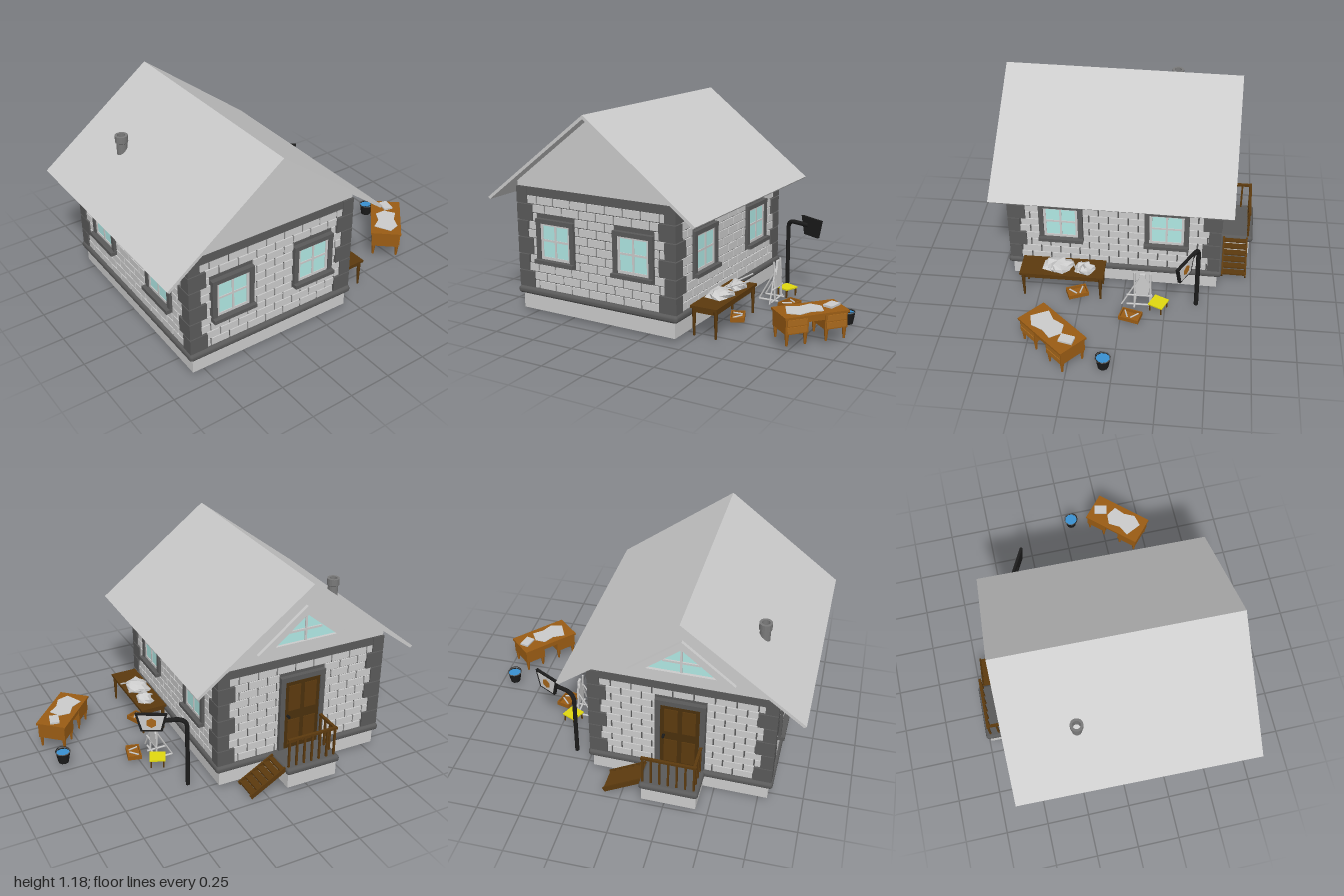
import * as THREE from 'three';
import { mergeGeometries } from 'three/addons/utils/BufferGeometryUtils.js';
import { RoundedBoxGeometry } from 'three/addons/geometries/RoundedBoxGeometry.js';

const mat = (color, flatShading = false) => new THREE.MeshStandardMaterial({ color, flatShading, side: THREE.DoubleSide });
const M = {
  light: mat(0xcccccc), dark: mat(0x5a5a5a), glass: mat(0xb0e8e4), black: mat(0x1c1c1c), brown: mat(0x5c3a0e),
  door: mat(0x4a300c), wood: mat(0x9a5c14, true), yellow: mat(0xe0d810), water: mat(0x3a90d0), orange: mat(0xa8681c),
  cloth: mat(0xcccccc, true),
};
const V = (x, y, z) => new THREE.Vector3(x, y, z);

function add(parent, name, geo, material, x = 0, y = 0, z = 0) {
  const m = new THREE.Mesh(geo, material);
  m.name = name;
  m.position.set(x, y, z);
  parent.add(m);
  return m;
}
const box = (p, name, m, w, h, d, x, y, z) => add(p, name, new THREE.BoxGeometry(w, h, d), m, x, y, z);
function group(parent, name, x = 0, y = 0, z = 0, ry = 0) {
  const g = new THREE.Group();
  g.name = name;
  g.position.set(x, y, z);
  g.rotation.y = ry;
  parent.add(g);
  return g;
}
// Round bar between two points
function stick(p, name, m, a, b, r = 0.006, r2 = r, sides = 6) {
  const s = add(p, name, new THREE.CylinderGeometry(r2, r, a.distanceTo(b), sides), m);
  s.position.copy(a).lerp(b, 0.5);
  s.quaternion.setFromUnitVectors(V(0, 1, 0), b.clone().sub(a).normalize());
  return s;
}
const poly = (pts) => new THREE.Shape(pts.map(([x, y]) => new THREE.Vector2(x, y)));
const extrude = (shape, depth) => new THREE.ExtrudeGeometry(shape, { depth, bevelEnabled: false });

// Staggered brick face, cut around rectangular openings [x0, x1, y0, y1]
function bricks(width, openings) {
  const rows = 11, h = 0.54 / rows, bw = 0.115, gap = 0.009, geos = [];
  for (let r = 0; r < rows; r++) {
    const y = 0.15 + h * (r + 0.5);
    const holes = openings.filter((o) => y > o[2] - h / 3 && y < o[3] + h / 3);
    for (let x = -width / 2 - (r % 2) * bw / 2; x < width / 2; x += bw) {
      let parts = [[Math.max(x, -width / 2), Math.min(x + bw, width / 2)]];
      for (const [a, b] of holes) parts = parts.flatMap(([s, e]) => [[s, Math.min(e, a)], [Math.max(s, b), e]]);
      for (const [s, e] of parts) {
        if (e - s < gap * 2) continue;
        geos.push(new THREE.BoxGeometry(e - s - gap, h - gap * 0.7, 0.016).translate((s + e) / 2, y, 0));
      }
    }
  }
  return mergeGeometries(geos);
}

function windowUnit(parent, x) {
  const g = group(parent, 'window', x, 0.44, 0);
  box(g, 'glass', M.glass, 0.2, 0.21, 0.008, 0, 0, 0.008);
  for (const s of [-1, 1]) {
    box(g, 'outerJamb', M.dark, 0.028, 0.25, 0.04, s * 0.114, 0, 0.004);
    box(g, 'sashSide', M.light, 0.016, 0.21, 0.02, s * 0.093, 0, 0.006);
    box(g, 'sashRail', M.light, 0.2, 0.016, 0.02, 0, s * 0.098, 0.006);
  }
  box(g, 'lintel', M.dark, 0.256, 0.025, 0.046, 0, 0.114, 0.004);
  box(g, 'sill', M.dark, 0.262, 0.022, 0.08, 0, -0.118, 0.006);
  box(g, 'mullion', M.light, 0.012, 0.2, 0.016, 0, 0, 0.008);
  box(g, 'crossbar', M.light, 0.2, 0.012, 0.016, 0, 0.005, 0.008);
}

function house(root) {
  const g = group(root, 'house', -0.31, 0, 0.058, -0.0186);
  box(g, 'foundation', M.light, 1.01, 0.1, 1.22, 0, 0.07, 0);
  add(g, 'plinthLedge', new RoundedBoxGeometry(1.06, 0.042, 1.27, 3, 0.018), M.dark, 0, 0.132, 0);
  box(g, 'wallCore', M.dark, 1.01, 0.6, 1.21, 0, 0.44, 0);
  // Four walls, each in its own frame facing outward
  const sides = [[1.01, 0.605, 0, 0.257], [1.01, 0.605, Math.PI, 0], [1.21, 0.505, Math.PI / 2, 0.308], [1.21, 0.505, -Math.PI / 2, 0.308]];
  for (const [w, d, ry, wx] of sides) {
    const wall = group(g, 'wall', Math.sin(ry) * d, 0, Math.cos(ry) * d, ry);
    const holes = wx ? [-wx, wx].map((x) => [x - 0.125, x + 0.125, 0.315, 0.565]) : [[-0.14, 0.14, 0.1, 0.62]];
    add(wall, 'bricks', bricks(w, holes), M.light);
    box(wall, 'frieze', M.dark, w, 0.05, 0.024, 0, 0.715, 0);
    if (wx) [-wx, wx].forEach((x) => windowUnit(wall, x));
    else doorway(wall);
  }
  // Corner stones alternate long and short
  for (const sx of [-1, 1]) for (const sz of [-1, 1]) for (let i = 0; i < 6; i++) {
    const a = i % 2 ? 0.07 : 0.105, b = i % 2 ? 0.105 : 0.07;
    box(g, 'cornerStone', M.dark, a, 0.092, b, sx * (0.521 - a / 2), 0.2 + i * 0.098, sz * (0.621 - b / 2));
  }
  // Gable prism and roof slab
  add(g, 'gable', extrude(poly([[-0.515, 0.74], [0.515, 0.74], [0.515, 0.768], [0, 1.165], [-0.515, 0.768]]), 1.23), M.light, 0, 0, -0.615);
  add(g, 'roof', extrude(poly([[-0.672, 0.668], [-0.66, 0.656], [0, 1.158], [0.66, 0.656], [0.672, 0.668], [0, 1.18]]), 1.37), M.light, 0, 0, -0.685);
  // Triangular attic window at the back
  const attic = group(g, 'atticWindow', 0, 0.8, -0.615, Math.PI);
  const frame = poly([[-0.29, 0], [0.29, 0], [0, 0.235]]);
  frame.holes.push(poly([[-0.19, 0.03], [0, 0.185], [0.19, 0.03]]));
  add(attic, 'frame', extrude(frame, 0.02), M.light);
  add(attic, 'glass', extrude(poly([[-0.2, 0.025], [0.2, 0.025], [0, 0.19]]), 0.004), M.glass);
  box(attic, 'mullion', M.light, 0.012, 0.16, 0.012, 0, 0.105, 0.006);
  box(attic, 'crossbar', M.light, 0.2, 0.012, 0.012, 0, 0.095, 0.006);
  // Hollow chimney
  const pts = [[0.03, 0], [0.03, 0.15], [0.036, 0.155], [0.036, 0.195], [0.022, 0.195], [0.022, 0]];
  add(g, 'chimney', new THREE.LatheGeometry(pts.map(([x, y]) => new THREE.Vector2(x, y)), 16), mat(0x7a7a7a, true), -0.375, 0.79, -0.29);
  porch(g);
}

function doorway(wall) {
  box(wall, 'door', M.door, 0.22, 0.44, 0.024, 0, 0.37, 0.004);
  for (const s of [-1, 1]) {
    box(wall, 'doorJamb', M.dark, 0.03, 0.46, 0.04, s * 0.125, 0.38, 0.004);
    for (const y of [0.26, 0.48]) box(wall, 'doorPanel', M.brown, 0.075, 0.16, 0.006, s * 0.05, y, 0.017);
  }
  box(wall, 'doorHead', M.dark, 0.28, 0.03, 0.044, 0, 0.605, 0.004);
  stick(wall, 'doorHandle', M.black, V(-0.09, 0.37, 0.015), V(-0.09, 0.37, 0.04), 0.008);
}

function porch(house) {
  const g = group(house, 'porch', 0.018, 0, 0);
  box(g, 'porchBase', M.light, 0.31, 0.1, 0.2, 0, 0.07, -0.695);
  add(g, 'porchLedge', new RoundedBoxGeometry(0.335, 0.042, 0.22, 3, 0.018), M.dark, 0, 0.132, -0.705);
  // Railing on the back and left edges
  for (let i = 0; i < 7; i++) box(g, 'baluster', M.brown, 0.011, 0.18, 0.011, -0.14 + i * 0.048, 0.24, -0.785);
  for (let i = 1; i < 4; i++) box(g, 'baluster', M.brown, 0.011, 0.18, 0.011, -0.14, 0.24, -0.785 + i * 0.05);
  box(g, 'backRail', M.brown, 0.31, 0.014, 0.016, 0.002, 0.326, -0.785);
  box(g, 'sideRail', M.brown, 0.016, 0.014, 0.16, -0.14, 0.326, -0.71);
  // Wooden steps down to the right
  for (let i = 0; i < 6; i++) box(g, 'tread', M.brown, 0.042, 0.01, 0.14, 0.175 + i * 0.036, 0.135 - i * 0.021, -0.71);
  for (const z of [-0.78, -0.64]) box(g, 'stringer', M.brown, 0.25, 0.028, 0.01, 0.27, 0.08, z).rotation.z = -0.53;
}

function lampSign(root) {
  const g = group(root, 'lampSign');
  const path = new THREE.CurvePath();
  path.add(new THREE.LineCurve3(V(0.345, 0, -0.43), V(0.345, 0.38, -0.43)));
  path.add(new THREE.QuadraticBezierCurve3(V(0.345, 0.38, -0.43), V(0.345, 0.43, -0.43), V(0.395, 0.43, -0.405)));
  path.add(new THREE.LineCurve3(V(0.395, 0.43, -0.405), V(0.5, 0.43, -0.37)));
  add(g, 'post', new THREE.TubeGeometry(path, 40, 0.013, 8), M.black);
  const s = group(g, 'signPanel', 0.525, 0.425, -0.36, Math.PI - 0.49);
  const trap = (k) => [[-0.06 * k, -0.055 * k], [0.06 * k, -0.055 * k], [0.088 * k, 0.055 * k], [-0.088 * k, 0.055 * k]];
  add(s, 'panel', extrude(poly(trap(1)), 0.016), M.black, 0, 0, -0.008);
  add(s, 'panelFace', extrude(poly(trap(0.82)), 0.002), M.light, 0, 0, 0.008);
  add(s, 'panelInset', new THREE.CylinderGeometry(0.03, 0.03, 0.004, 6).rotateX(Math.PI / 2), M.orange, 0, 0, 0.01);
}

// Crumpled pile of cloth, made from a squashed sphere
function heap(p, name, w, h, d, x, y, z) {
  const geo = new THREE.SphereGeometry(1, 9, 6), pos = geo.attributes.position;
  for (let i = 0; i < pos.count; i++) {
    const px = pos.getX(i), py = pos.getY(i), pz = pos.getZ(i);
    const k = 1 + 0.28 * Math.sin(px * 7 + pz * 5) * Math.cos(pz * 6 - py * 4);
    pos.setXYZ(i, px * w * k, Math.max(py, 0) * h * k, pz * d * k);
  }
  geo.computeVertexNormals();
  return add(p, name, geo, M.cloth, x, y, z);
}

function crate(root, x, z, ry) {
  const g = group(root, 'crate', x, 0.028, z, ry);
  box(g, 'crateFloor', M.wood, 0.08, 0.006, 0.12, 0, 0.003, 0);
  for (const s of [-1, 1]) {
    box(g, 'crateSide', M.wood, 0.006, 0.026, 0.12, s * 0.037, 0.013, 0);
    box(g, 'crateEnd', M.wood, 0.08, 0.026, 0.006, 0, 0.013, s * 0.057);
    stick(g, 'tool', M.light, V(-0.025, 0.02, s * 0.04), V(0.025, 0.025, s * 0.01), 0.005);
  }
}

function furniture(root) {
  // Long work table beside the wall
  const t = group(root, 'workTable', 0.31, 0, 0.355);
  box(t, 'tableTop', M.brown, 0.16, 0.014, 0.49, 0, 0.185, 0);
  box(t, 'apron', M.brown, 0.13, 0.03, 0.45, 0, 0.165, 0);
  for (const x of [-0.065, 0.065]) for (const z of [-0.225, 0.225]) stick(t, 'tableLeg', M.brown, V(x, 0.02, z), V(x, 0.18, z), 0.006, 0.012);
  heap(t, 'cloth', 0.07, 0.04, 0.09, -0.01, 0.192, 0.03);
  heap(t, 'cloth', 0.05, 0.045, 0.06, 0.01, 0.192, -0.13);
  for (const [z, y] of [[-0.1, 0.28], [-0.05, 0.25], [0.08, 0.24]]) stick(t, 'rod', M.light, V(-0.05, 0.195, z), V(0.1, y, z - 0.05), 0.005);
  // Pedestal desk with drawers and papers
  const d = group(root, 'desk', 0.805, 0, 0.34, 0.843);
  box(d, 'deskTop', M.wood, 0.368, 0.012, 0.182, 0, 0.184, 0);
  box(d, 'deskBody', M.wood, 0.34, 0.03, 0.16, 0, 0.165, 0);
  for (const s of [-1, 1]) {
    box(d, 'pedestal', M.wood, 0.13, 0.085, 0.165, s * 0.112, 0.137, 0);
    for (const y of [0.118, 0.157]) box(d, 'drawer', M.orange, 0.112, 0.032, 0.008, s * 0.112, y, 0.083);
    for (const x of [0.06, 0.165]) for (const z of [-0.07, 0.07]) stick(d, 'deskLeg', M.wood, V(s * x, 0.03, z), V(s * x, 0.1, z), 0.006, 0.013);
  }
  const sheet = poly([[-0.15, -0.03], [-0.09, -0.07], [-0.02, -0.05], [0.05, -0.06], [0.07, 0.01], [0.03, 0.06], [-0.04, 0.045], [-0.11, 0.07]]);
  add(d, 'paper', extrude(sheet, 0.004).rotateX(-Math.PI / 2), M.cloth, 0, 0.19, 0);
  box(d, 'papers', M.light, 0.08, 0.012, 0.055, 0.125, 0.196, 0.0).rotation.y = 0.5;
  // Bucket of water
  const b = group(root, 'bucket', 0.91, 0.03, 0.05);
  add(b, 'pail', new THREE.CylinderGeometry(0.042, 0.03, 0.068, 10, 1, true), M.black, 0, 0.034, 0);
  add(b, 'pailBottom', new THREE.CylinderGeometry(0.03, 0.03, 0.003, 10), M.black, 0, 0.002, 0);
  add(b, 'water', new THREE.CylinderGeometry(0.04, 0.04, 0.002, 10), M.water, 0, 0.06, 0);
  add(b, 'rim', new THREE.TorusGeometry(0.042, 0.003, 5, 10).rotateX(Math.PI / 2), M.dark, 0, 0.068, 0);
  add(b, 'handle', new THREE.TorusGeometry(0.042, 0.002, 4, 12, Math.PI).rotateX(1.3), M.black, 0, 0.066, 0);
  // Yellow-topped stool
  const s = group(root, 'stool', 0.435, 0, -0.215, -0.42);
  box(s, 'stoolSeat', M.yellow, 0.09, 0.008, 0.09, 0, 0.08, 0);
  for (const x of [-0.036, 0.036]) for (const z of [-0.036, 0.036]) stick(s, 'stoolLeg', M.brown, V(x, 0.03, z), V(x, 0.078, z), 0.005);
  crate(root, 0.52, -0.06, -0.25);
  crate(root, 0.35, 0.27, 0.4);
  // Easel with a draped board
  const e = group(root, 'easel', 0.38, 0, -0.09);
  for (const z of [-0.075, 0.015]) {
    stick(e, 'easelFoot', M.light, V(-0.06, 0.035, z), V(0.06, 0.035, z));
    stick(e, 'easelPost', M.light, V(0.04, 0.035, z), V(0.03, 0.27, z));
    stick(e, 'easelBrace', M.light, V(-0.06, 0.035, z), V(0.03, 0.2, z), 0.005);
  }
  stick(e, 'easelStay', M.light, V(0.04, 0.035, 0.09), V(0.03, 0.21, 0.0), 0.005);
  for (const y of [0.04, 0.11]) stick(e, 'easelBar', M.light, V(0.04, y, -0.09), V(0.04, y, 0.06));
  const board = poly([[-0.035, 0.11], [0.035, 0.11], [0.042, 0.2], [0.02, 0.235], [0.015, 0.27], [-0.015, 0.27], [-0.02, 0.235], [-0.042, 0.19]]);
  add(e, 'drapedBoard', extrude(board, 0.014).rotateY(Math.PI / 2), M.cloth, 0.03, 0, -0.03);
}

export function createModel() {
  const root = new THREE.Group();
  root.name = 'workshopHouse';
  house(root);
  lampSign(root);
  furniture(root);
  return root;
}
